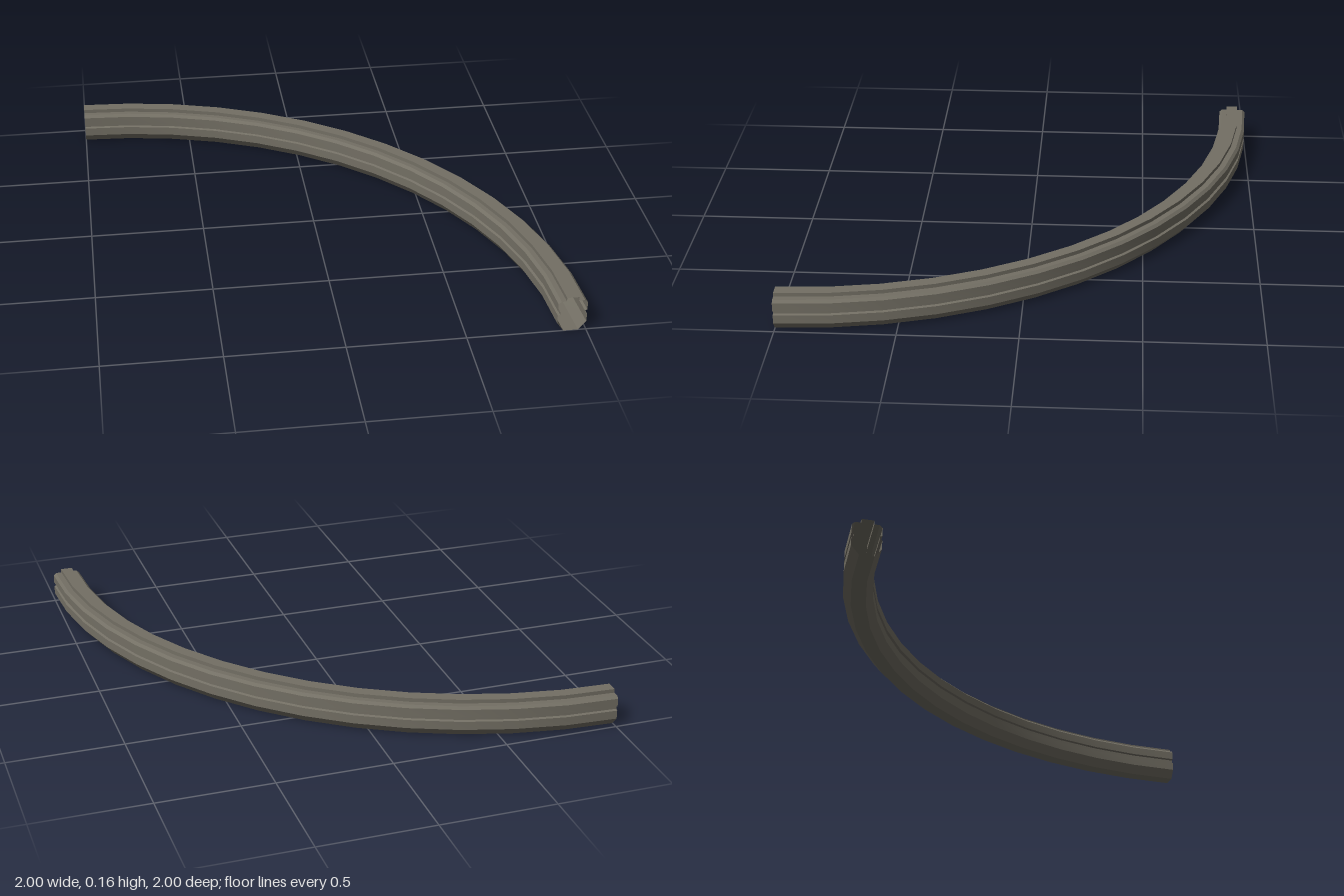
import * as THREE from 'three';
import { toCreasedNormals } from 'three/addons/utils/BufferGeometryUtils.js';

export function createModel() {
  const model = new THREE.Group();
  model.name = 'curvedRail';

  const stone = new THREE.MeshStandardMaterial({ color: 0x736f64, side: THREE.DoubleSide });
  stone.name = 'warm grey';

  // Closed cross-section as [radius, height], counter-clockwise from the underside
  const profile = [
    [1.905, 0], [1.967, 0], [2, 0.038],            // underside and outer chamfer
    [2, 0.076], [1.99, 0.08], [1.99, 0.092], [2, 0.096], // outer groove
    [2, 0.132], [1.988, 0.143], [1.963, 0.143],    // outer shoulder
    [1.963, 0.16], [1.911, 0.16],                  // raised top strip
    [1.911, 0.143], [1.889, 0.143], [1.877, 0.132], // inner shoulder
    [1.877, 0.096], [1.887, 0.092], [1.887, 0.08], [1.877, 0.076], // inner groove
    [1.877, 0.038], [1.905, 0],                    // inner chamfer
  ].map(([r, y]) => new THREE.Vector2(r, y));

  // Hollow quarter turn, open at both ends
  const sweep = new THREE.LatheGeometry(profile, 14, Math.PI / 2, Math.PI / 2);
  const rail = new THREE.Mesh(toCreasedNormals(sweep, 0.3), stone);
  rail.name = 'quarterArcRail';
  rail.position.set(-1, 0, 1);
  model.add(rail);

  return model;
}
